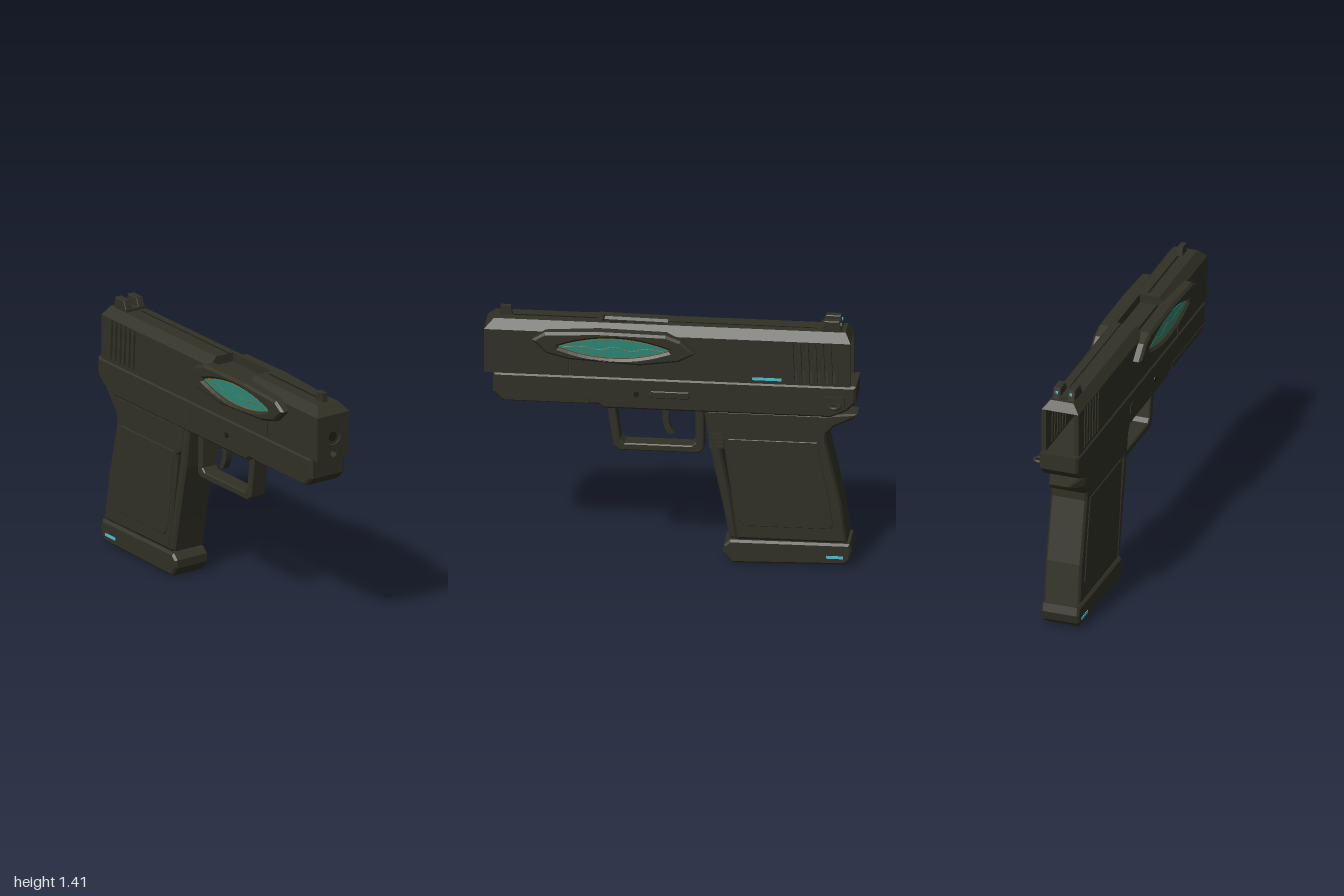
import * as THREE from 'three';

const mat = (name, color) => {
  const m = new THREE.MeshStandardMaterial({ color });
  m.name = name;
  return m;
};

export function createModel() {
  const body = mat('dark olive metal', 0x323126);
  const dark = mat('shadow black', 0x1c1c16);
  const teal = mat('teal lens', 0x2d8674);
  const copper = mat('copper trim', 0x8a6236);
  const cyan = mat('cyan marker', 0x4cc0d4);

  // everything is laid out around the body's centre plane
  const model = new THREE.Group();
  const core = new THREE.Group();
  core.name = 'pistol';
  core.position.z = 0.015;
  model.add(core);

  const add = (name, geo, material = body) => {
    const m = new THREE.Mesh(geo, material);
    m.name = name;
    core.add(m);
    return m;
  };
  const poly = (pts, holes = []) => {
    const s = new THREE.Shape(pts.map(p => new THREE.Vector2(...p)));
    s.holes = holes.map(h => new THREE.Path(h.map(p => new THREE.Vector2(...p))));
    return s;
  };
  // side profile extruded from z0 to z1 with chamfered edges inside the outline
  const ext = (shape, z0, z1, b = 0) => {
    const g = new THREE.ExtrudeGeometry(shape, {
      depth: z1 - z0 - 2 * b, bevelEnabled: b > 0, bevelSize: b, bevelThickness: b,
      bevelOffset: -b, bevelSegments: 1, curveSegments: 10,
    });
    return g.translate(0, 0, z0 + b);
  };
  // cross-section (first coordinate is -z) extruded along x
  const extX = (shape, x0, x1) =>
    new THREE.ExtrudeGeometry(shape, { depth: x1 - x0, bevelEnabled: false, curveSegments: 10 })
      .rotateY(Math.PI / 2).translate(x0, 0, 0);
  const box = (x0, x1, y0, y1, z0, z1) =>
    new THREE.BoxGeometry(x1 - x0, y1 - y0, z1 - z0)
      .translate((x0 + x1) / 2, (y0 + y1) / 2, (z0 + z1) / 2);
  const reshape = (geo, rule) => {
    const p = geo.attributes.position, v = new THREE.Vector3();
    for (let i = 0; i < p.count; i++) {
      rule(v.fromBufferAttribute(p, i));
      p.setXYZ(i, v.x, v.y, v.z);
    }
    geo.computeVertexNormals();
    return geo;
  };
  // range on either side of the centre plane
  const span = (s, a, b) => (s > 0 ? [a, b] : [-b, -a]);

  // slide walls with slanted cooling slots and a narrow slit
  const slots = [];
  for (let i = 0; i < 6; i++) {
    const x = -0.89 + i * 0.041;
    slots.push([[x, 1.065], [x + 0.016, 1.065], [x + 0.026, 1.295], [x + 0.01, 1.295]]);
  }
  slots.push([[0.537, 1.058], [0.547, 1.058], [0.547, 1.17], [0.537, 1.17]]);
  const wall = poly([[-0.97, 1.05], [0.96, 1.05], [0.96, 1.3], [-0.97, 1.3]], slots);
  for (const s of [1, -1]) add('slideWall', ext(wall, ...span(s, 0.08, 0.105)));

  // chamfered slide top, cut away at the ejection port
  const roof = poly([[-0.105, 1.3], [0.105, 1.3], [0.065, 1.35], [-0.065, 1.35]]);
  const roofPort = poly([[0.045, 1.3], [0.105, 1.3], [0.065, 1.35], [0.045, 1.35]]);
  for (const [shape, a, b] of [[roof, -0.97, 0.02], [roofPort, 0.02, 0.37], [roof, 0.37, 1]]) {
    add('slideTop', reshape(extX(shape, a, b), v => {
      if (v.y > 1.34) v.x = THREE.MathUtils.clamp(v.x, -0.94, 0.95);
    }));
  }
  add('topGroove', box(-0.78, 0.02, 1.347, 1.352, -0.022, -0.016), dark);
  add('topGroove', box(0.4, 0.85, 1.347, 1.352, -0.012, -0.002), dark);

  // muzzle block with barrel and guide rod openings
  const muzzle = poly([[-0.105, 1.05], [0.105, 1.05], [0.105, 1.3], [-0.105, 1.3]]);
  for (const [y, r] of [[1.175, 0.046], [1.08, 0.02]]) {
    muzzle.holes.push(new THREE.Path().absarc(0, y, r, 0, Math.PI * 2, true));
  }
  add('muzzleBlock', extX(muzzle, 0.93, 1));
  add('barrel', new THREE.CylinderGeometry(0.044, 0.044, 0.99, 20)
    .rotateZ(Math.PI / 2).translate(0.495, 1.175, 0));
  add('bore', new THREE.CylinderGeometry(0.026, 0.026, 0.004, 20)
    .rotateZ(Math.PI / 2).translate(0.991, 1.175, 0), dark);
  add('chamber', box(-0.02, 0.42, 1.14, 1.29, -0.06, 0.045));
  add('innerLens', box(0.04, 0.34, 1.23, 1.297, 0.072, 0.079), teal);

  // side pods, each with a recessed lens, trim and wave line
  const podOutline = [[-0.14, 1.22], [-0.05, 1.17], [0.16, 1.14], [0.54, 1.16], [0.66, 1.19],
    [0.74, 1.265], [0.67, 1.31], [0.38, 1.325], [0.02, 1.32], [-0.06, 1.29]];
  const lensOutline = (grow) => {
    const pts = [], n = 12;
    for (const s of [-1, 1]) {
      for (let i = 0; i < n; i++) {
        const t = s * (-1 + 2 * (i + 0.15) / (n - 0.7));
        pts.push([0.3 + t * -s * s * -(0.3 + grow), 1.231 + s * (0.053 + grow) * (1 - t * t) + s * 0.002]);
      }
    }
    return pts;
  };
  const wave = new THREE.CatmullRomCurve3([[0.03, 1.222], [0.14, 1.235], [0.2, 1.215],
    [0.3, 1.238], [0.38, 1.22], [0.46, 1.236], [0.57, 1.232]]
    .map(([x, y]) => new THREE.Vector3(x, y, 0)));
  for (const s of [1, -1]) {
    add('sidePod', ext(poly(podOutline, [lensOutline(0.004)]), ...span(s, 0.07, 0.15), 0.013));
    add('lensTrim', ext(poly(lensOutline(0.008)), ...span(s, 0.125, 0.131)), copper);
    add('lens', ext(poly(lensOutline(-0.004)), ...span(s, 0.128, 0.135)), teal);
    add('waveLine', new THREE.TubeGeometry(wave, 40, 0.002, 5)
      .translate(0, 0, s * 0.135), copper);
  }

  // sights
  const rear = poly([[-0.92, 1.34], [-0.8, 1.34], [-0.81, 1.37], [-0.825, 1.41], [-0.905, 1.41]]);
  add('rearSightBase', box(-0.915, -0.8, 1.34, 1.365, -0.062, 0.062));
  for (const s of [1, -1]) {
    add('rearSightPost', ext(rear, ...span(s, 0.02, 0.063), 0.004));
    add('sightDot', box(-0.915, -0.908, 1.378, 1.392, s * 0.04 - 0.007, s * 0.04 + 0.007), cyan);
  }
  add('frontSight', ext(poly([[0.855, 1.34], [0.925, 1.34], [0.92, 1.4], [0.865, 1.4]]), -0.015, 0.015));

  // lower frame
  add('frame', ext(poly([[-1, 1.053], [-1, 0.96], [-0.95, 0.91], [-0.86, 0.87], [0.36, 0.87],
    [0.38, 0.89], [0.9, 0.89], [0.95, 0.94], [0.95, 1.053]]), -0.112, 0.112, 0.012));
  for (const s of [1, -1]) {
    add('railStrip', ext(poly([[0.43, 0.9], [0.89, 0.9], [0.92, 0.93], [0.43, 0.93]]),
      ...span(s, 0.108, 0.115)));
    add('framePin', new THREE.CylinderGeometry(0.016, 0.016, 0.006, 14)
      .rotateX(Math.PI / 2).translate(0.18, 0.96, s * 0.113), dark);
    add('squarePin', box(-0.2, -0.15, 0.935, 0.985, ...span(s, 0.11, 0.116)));
  }
  add('railRecess', box(0.46, 0.86, 0.887, 0.891, -0.06, 0.06), dark);
  add('slideCatch', ext(poly([[-0.1, 0.945], [0.1, 0.945], [0.115, 0.96], [0.1, 0.985],
    [-0.1, 0.985], [-0.11, 0.965]]), -0.122, -0.108, 0.004));
  add('slideMarker', box(-0.6, -0.44, 1.07, 1.085, -0.109, -0.104), cyan);

  // lanyard loop
  add('loopMount', box(-0.94, -0.84, 0.925, 0.995, -0.124, -0.108));
  add('lanyardLoop', new THREE.TorusGeometry(0.026, 0.01, 8, 20)
    .rotateX(Math.PI / 2).scale(1, 1, 1.2).translate(-0.89, 0.95, -0.142));

  // grip with tapered tang and separate front strap
  add('grip', reshape(ext(poly([[-0.84, 0.88], [-1, 0.872], [-0.98, 0.845], [-0.88, 0.81],
    [-0.84, 0.765], [-0.84, 0.72], [-0.92, 0.37], [-0.95, 0.14], [-0.36, 0.14], [-0.325, 0.42],
    [-0.285, 0.7], [-0.24, 0.73], [-0.21, 0.88]]), -0.103, 0.103, 0.012), v => {
    if (v.x < -0.86 && v.y > 0.8) v.z *= 1 - (-0.86 - v.x) * 3.5;
  }));
  add('frontStrap', ext(poly([[-0.362, 0.14], [-0.32, 0.14], [-0.285, 0.32], [-0.215, 0.65],
    [-0.18, 0.88], [-0.25, 0.88], [-0.265, 0.69], [-0.32, 0.42]]), -0.1, 0.1, 0.012));
  const panel = [[-0.79, 0.72], [-0.31, 0.72], [-0.345, 0.42], [-0.37, 0.25], [-0.4, 0.22],
    [-0.86, 0.22], [-0.875, 0.25], [-0.85, 0.42]];
  for (const s of [1, -1]) {
    add('gripPanel', ext(poly(panel), ...span(s, 0.1, 0.108), 0.003));
    add('baseMarker', box(-0.93, -0.84, 0.05, 0.066, ...span(s, 0.105, 0.111)), cyan);
  }

  // magazine base and release
  add('magazineNeck', box(-0.92, -0.35, 0.12, 0.16, -0.085, 0.085), dark);
  add('magazineBase', ext(poly([[-0.965, 0.135], [-0.32, 0.132], [-0.288, 0.1], [-0.288, 0.055],
    [-0.33, 0], [-0.94, 0.015], [-0.965, 0.04], [-0.978, 0.09]]), -0.108, 0.108, 0.012));
  add('magazineRelease', box(-0.29, -0.21, 0.665, 0.755, -0.108, -0.09));
  for (let i = 0; i < 4; i++) {
    const y = 0.668 + i * 0.023;
    add('releaseRidge', box(-0.29, -0.21, y, y + 0.013, -0.119, -0.106));
  }

  // trigger guard and trigger
  add('triggerGuard', ext(poly(
    [[-0.175, 0.88], [-0.175, 0.63], [-0.15, 0.605], [0.28, 0.605], [0.31, 0.63], [0.348, 0.88]],
    [[[-0.13, 0.868], [-0.13, 0.665], [-0.11, 0.645], [0.25, 0.645], [0.272, 0.665], [0.302, 0.868]]]),
    -0.048, 0.048, 0.006));
  const trigger = new THREE.Shape();
  trigger.moveTo(0, 0.89);
  trigger.quadraticCurveTo(0.04, 0.77, -0.015, 0.705);
  trigger.lineTo(0.01, 0.695);
  trigger.quadraticCurveTo(0.065, 0.74, 0.045, 0.89);
  add('trigger', ext(trigger, -0.02, 0.02));

  return model;
}
